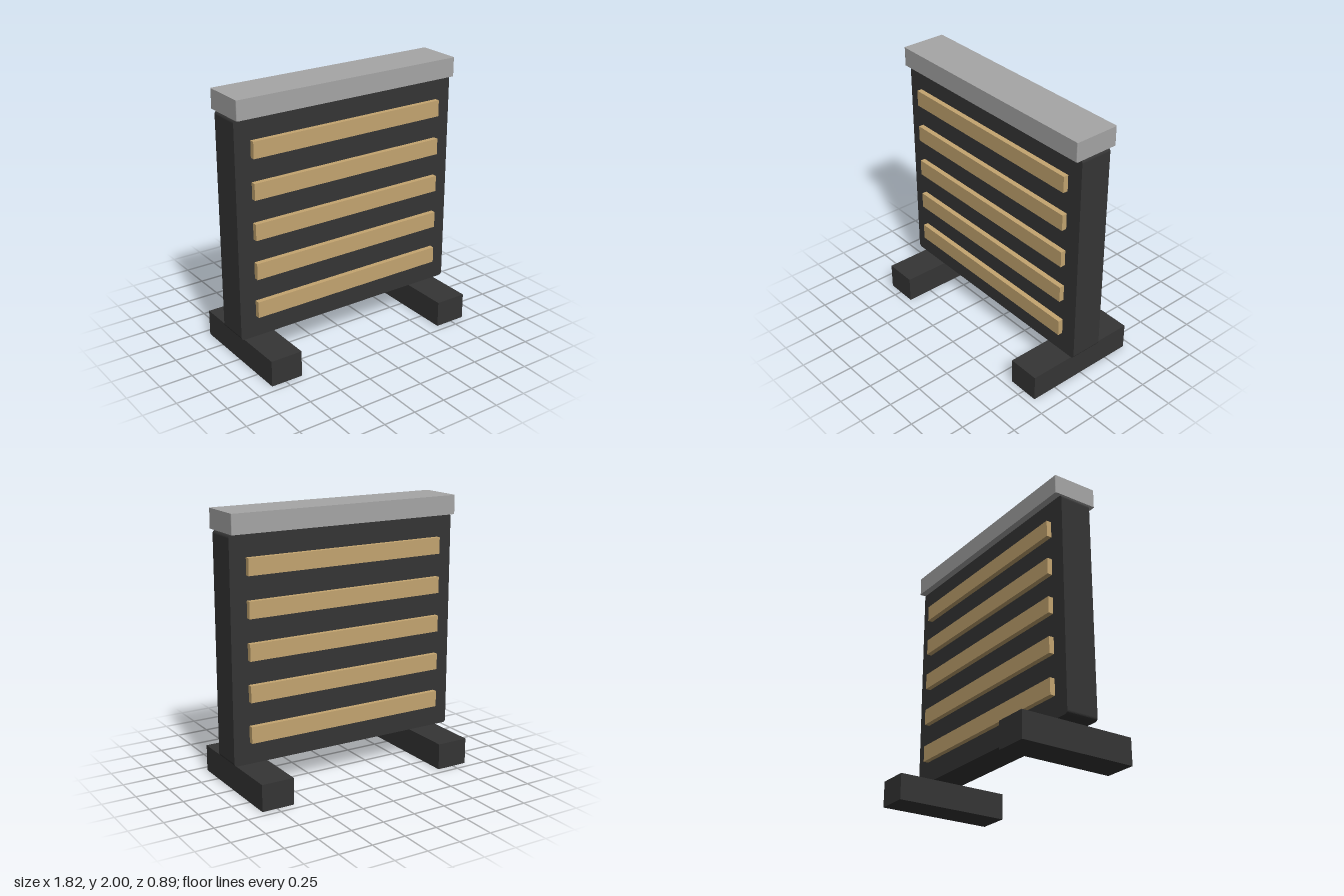
import * as THREE from 'three';

const dark = new THREE.MeshStandardMaterial({ color: 0x353535 });
dark.name = 'charcoal';
const wood = new THREE.MeshStandardMaterial({ color: 0xc4a570 });
wood.name = 'light wood';
const grey = new THREE.MeshStandardMaterial({ color: 0xa6a6a6 });
grey.name = 'grey';

// Slab with rounded outline corners, centred on the origin, extruded along z
function roundedSlab(w, h, d, r) {
  const x = w / 2, y = h / 2;
  const s = new THREE.Shape();
  s.absarc(x - r, y - r, r, 0, Math.PI / 2);
  s.absarc(-x + r, y - r, r, Math.PI / 2, Math.PI);
  s.absarc(-x + r, -y + r, r, Math.PI, Math.PI * 1.5);
  s.absarc(x - r, -y + r, r, Math.PI * 1.5, Math.PI * 2);
  const g = new THREE.ExtrudeGeometry(s, { depth: d, bevelEnabled: false, curveSegments: 4 });
  return g.translate(0, 0, -d / 2);
}

export function createModel() {
  const model = new THREE.Group();
  model.name = 'slattedPanel';

  const add = (name, geometry, material, x, y, z) => {
    const mesh = new THREE.Mesh(geometry, material);
    mesh.name = name;
    mesh.position.set(x, y, z);
    model.add(mesh);
  };

  // Upright panel, floating just above its feet
  add('panel', roundedSlab(1.82, 1.63, 0.246, 0.025), dark, 0, 1.041, 0);

  // Cap along the top, its outline slightly rounded in plan
  const cap = roundedSlab(1.82, 0.342, 0.142, 0.008).rotateX(-Math.PI / 2);
  add('cap', cap, grey, 0, 1.929, 0);

  // Feet
  const foot = new THREE.BoxGeometry(0.245, 0.197, 0.886);
  add('leftFoot', foot, dark, 0.74, 0.0985, 0);
  add('rightFoot', foot, dark, -0.74, 0.0985, 0);

  // Five wooden slats on each face
  const slat = new THREE.BoxGeometry(1.574, 0.122, 0.042);
  for (let i = 0; i < 5; i++) {
    const y = 0.447 + i * 0.2965;
    add('frontSlat' + (i + 1), slat, wood, 0, y, 0.14);
    add('backSlat' + (i + 1), slat, wood, 0, y, -0.14);
  }
  return model;
}
